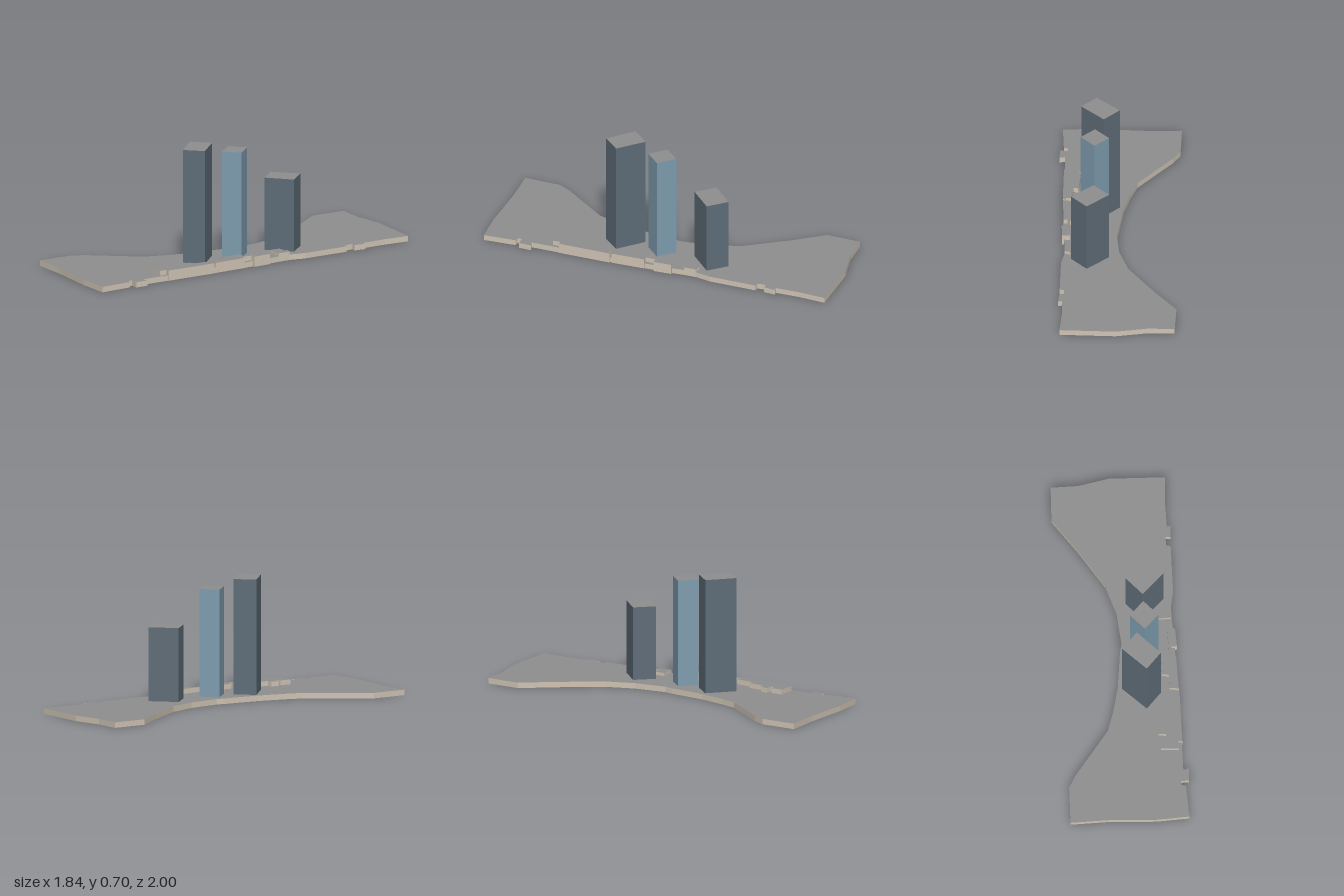
import * as THREE from 'three';

// Open-bottomed block: walls from the ground up plus a flat roof over an [x, z] footprint
function block(name, footprint, height, wallColor, roofColor = 0x8f8f8f) {
  const group = new THREE.Group();
  group.name = name;
  let pts = footprint.map(([x, z]) => new THREE.Vector2(x, -z));
  if (THREE.ShapeUtils.isClockWise(pts)) pts = pts.reverse();

  const roofGeo = new THREE.ShapeGeometry(new THREE.Shape(pts));
  roofGeo.rotateX(-Math.PI / 2).translate(0, height, 0);

  const pos = [];
  pts.forEach((a, i) => {
    const b = pts[(i + 1) % pts.length];
    const [a0, b0, b1, a1] = [
      [a.x, 0, -a.y], [b.x, 0, -b.y], [b.x, height, -b.y], [a.x, height, -a.y],
    ];
    pos.push(...a0, ...b0, ...b1, ...a0, ...b1, ...a1);
  });
  const wallGeo = new THREE.BufferGeometry();
  wallGeo.setAttribute('position', new THREE.Float32BufferAttribute(pos, 3));
  wallGeo.computeVertexNormals();

  for (const [part, geo, color] of [['Walls', wallGeo, wallColor], ['Roof', roofGeo, roofColor]]) {
    const mesh = new THREE.Mesh(geo, new THREE.MeshStandardMaterial({
      color, side: THREE.DoubleSide, flatShading: true,
    }));
    mesh.name = name + part;
    group.add(mesh);
  }
  return group;
}

export function createModel() {
  const model = new THREE.Group();
  model.name = 'towerComplex';
  const stone = 0xcfc4b4, slate = 0x5f6d78, glass = 0x7f9db0;

  // Broad base plate, narrow in the middle and flared at both ends
  const backEdge = [
    [-0.92, 0.56], [-0.78, 0.4], [-0.7, 0.37], [-0.38, 0.3], [-0.29, 0.245], [-0.16, 0.15],
    [0, 0], [0.04, -0.03], [0.15, -0.19], [0.215, -0.35], [0.25, -0.63], [0.265, -0.85],
  ];
  const leftEnd = [[0.4, -1], [0.52, -0.9], [0.68, -0.81], [0.92, -0.595], [0.81, -0.48]];
  const frontEdge = [
    [0.72, -0.37], [0.74, -0.36], [0.69, -0.31], [0.67, -0.33], [0.64, -0.29], [0.655, -0.27],
    [0.475, -0.06], [0.4, 0], [0.355, 0.055], [0.3, 0.13], [0.08, 0.4], [-0.12, 0.64],
    [-0.23, 0.77], [-0.2, 0.785], [-0.25, 0.84], [-0.285, 0.81], [-0.3, 0.83], [-0.285, 0.85],
  ];
  const rightEnd = [[-0.4, 1], [-0.55, 0.885], [-0.76, 0.69]];
  model.add(block('basePlate', [...backEdge, ...leftEnd, ...frontEdge, ...rightEnd], 0.032, stone));

  // Low stepped podiums along the front edge
  model.add(block('rightPodium', [
    [-0.24, 0.595], [-0.195, 0.545], [-0.17, 0.565], [-0.16, 0.55], [-0.19, 0.52],
    [-0.155, 0.49], [-0.13, 0.51], [-0.06, 0.44], [-0.04, 0.46], [0.035, 0.385],
    [0.06, 0.41], [0.07, 0.4], [0.08, 0.41], [-0.12, 0.645], [-0.135, 0.63], [-0.165, 0.665],
  ], 0.06, stone));
  model.add(block('middlePodium', [
    [0.05, 0.36], [0.1, 0.3], [0.075, 0.27], [0.155, 0.175], [0.19, 0.21], [0.285, 0.09],
    [0.32, 0.12], [0.255, 0.205], [0.23, 0.185], [0.19, 0.23], [0.21, 0.245], [0.085, 0.4],
  ], 0.06, stone));
  model.add(block('leftPodium', [
    [0.285, 0], [0.325, -0.045], [0.365, -0.015], [0.38, -0.03], [0.4, 0], [0.355, 0.055],
  ], 0.05, stone));

  // Three towers
  model.add(block('tallTower',
    [[-0.145, 0.17], [-0.015, 0.155], [0, 0.34], [-0.125, 0.355]], 0.7, slate));
  model.add(block('slimTower',
    [[0.04, 0.04], [0.155, 0.03], [0.16, 0.15], [0.045, 0.16]], 0.655, glass));
  model.add(block('shortTower',
    [[0.225, -0.19], [0.4, -0.2], [0.405, -0.065], [0.23, -0.055]], 0.46, slate));

  return model;
}
